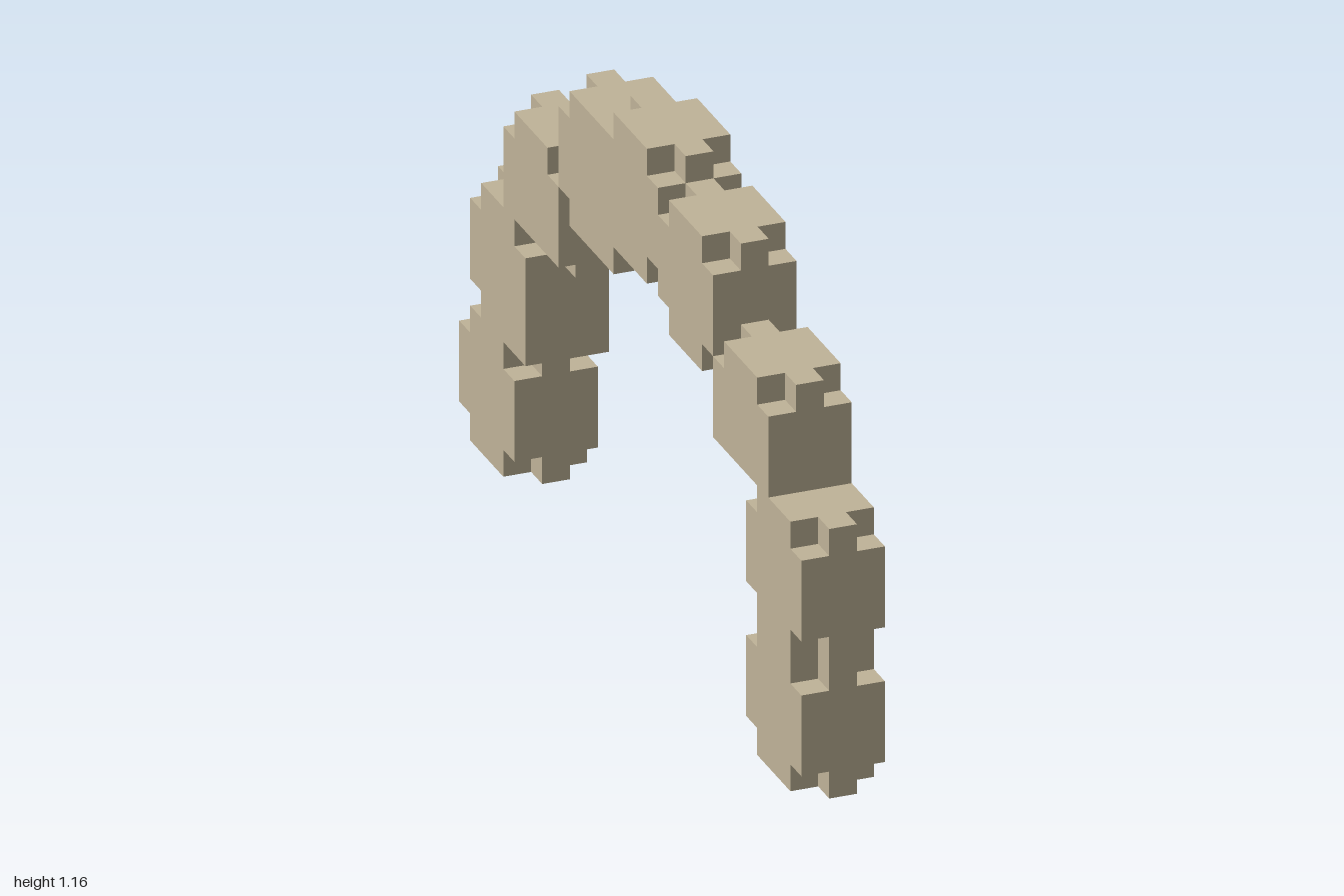
import * as THREE from 'three';

const U = 2 / 31; // one cell of the block grid

// Stones along the arch, in cells: z centre, y base, corners left square, and
// whether the lowest layer shrinks to a narrow rib.
// Corner names: bb = bottom back, bf = bottom front, tf = top front, tb = top back.
const STONES = [
  { name: 'frontLegLower', z: 13, y: 0 },
  { name: 'frontLegUpper', z: 13, y: 5 },
  { name: 'frontShoulder', z: 10, y: 9, rib: true },
  { name: 'frontHaunch', z: 5, y: 12 },
  { name: 'keystone', z: 0, y: 13 },
  { name: 'backHaunch', z: -4, y: 12, square: ['bf'] },
  { name: 'backShoulder', z: -9, y: 9, rib: true },
  { name: 'backLegUpper', z: -12, y: 5, square: ['bf'] },
  { name: 'backLegLower', z: -13, y: 0 },
];

export function createModel() {
  const stone = new THREE.MeshStandardMaterial({ color: 0xbfb398 });
  stone.name = 'sandstone';
  const model = new THREE.Group();
  model.name = 'stoneArch';

  const addBox = (group, name, w, h, d, y, z) => {
    const mesh = new THREE.Mesh(new THREE.BoxGeometry(w * U, h * U, d * U), stone);
    mesh.name = name;
    mesh.position.set(0, y * U, z * U);
    group.add(mesh);
  };

  for (const { name, z, y, rib = false, square = [] } of STONES) {
    const group = new THREE.Group();
    group.name = name;
    group.position.set(0, y * U, z * U);
    model.add(group);

    const base = rib ? 1 : 0;
    const corners = [
      { id: 'bb', p: [-2.5, base], d: [1, 1] },
      { id: 'bf', p: [2.5, base], d: [-1, 1] },
      { id: 'tf', p: [2.5, 5], d: [-1, -1] },
      { id: 'tb', p: [-2.5, 5], d: [1, -1] },
    ];

    // Side outline with stepped corners; the middle cell of each step is put back
    const points = [];
    corners.forEach(({ id, p: [a, b], d: [da, db] }, i) => {
      const plain = square.includes(id) || (rib && id[0] === 'b');
      if (plain) {
        points.push(new THREE.Vector2(a * U, b * U));
        return;
      }
      const step = [[a, b + db], [a + da, b + db], [a + da, b]];
      if (i % 2) step.reverse();
      step.forEach(([s, t]) => points.push(new THREE.Vector2(s * U, t * U)));
      addBox(group, 'cornerStub', 1, 1, 1, b + db / 2, a + da / 2);
    });

    const geometry = new THREE.ExtrudeGeometry(new THREE.Shape(points), {
      depth: 3 * U,
      bevelEnabled: false,
    });
    geometry.translate(0, 0, -1.5 * U).rotateY(-Math.PI / 2);
    const body = new THREE.Mesh(geometry, stone);
    body.name = 'stoneBody';
    group.add(body);

    // Narrow rib under the shoulder stones
    if (rib) addBox(group, 'underRib', 1, 1, 3, 0.5, 0);
  }

  return model;
}
